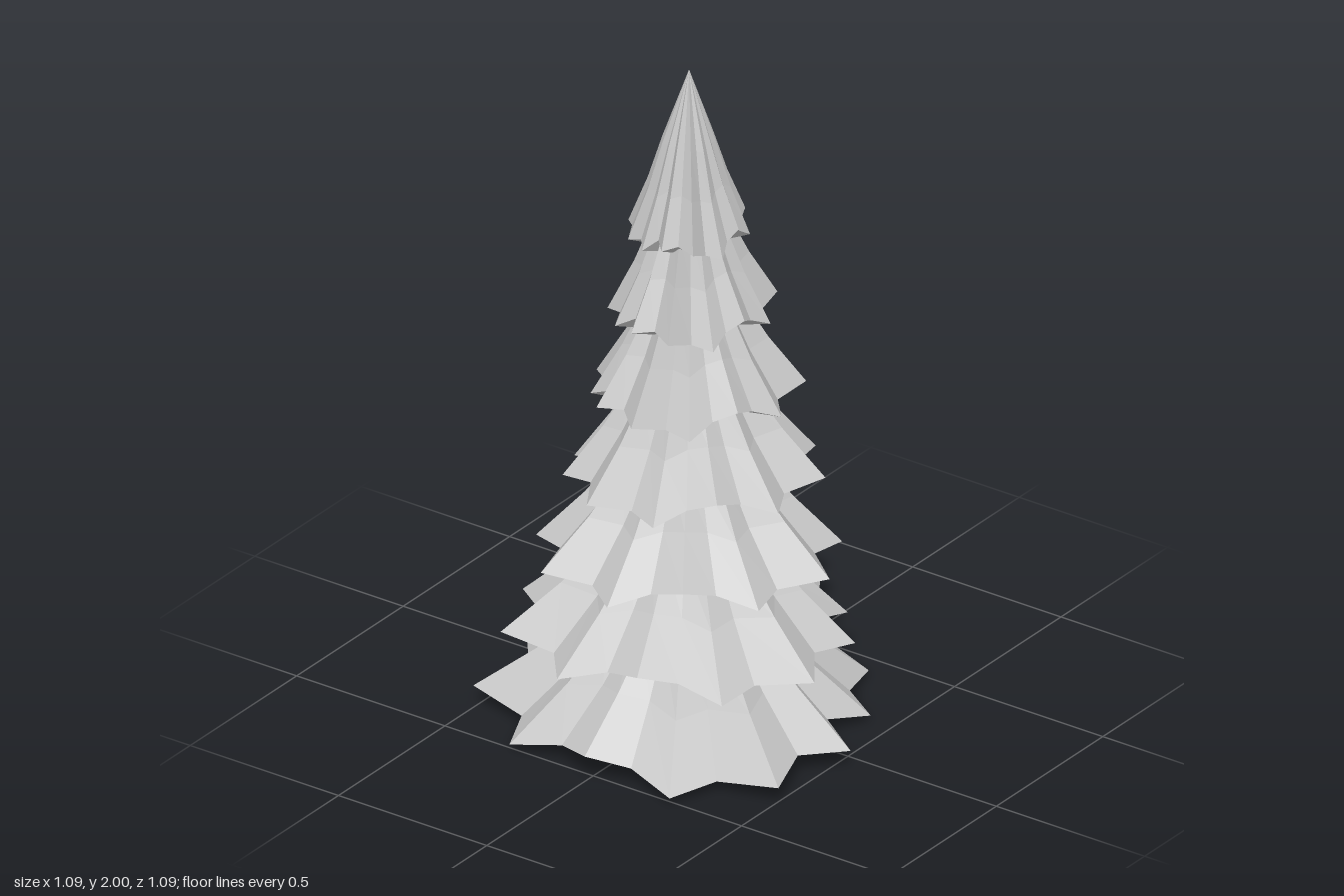
import * as THREE from 'three';

// Half outline of the lowest branch rim, from back tip to front tip in 15 degree
// steps: [radius, height]; tips and valleys alternate.
const HALF_RIM = [
  [0.6, 0.03], [0.515, 0.04], [0.54, 0.018], [0.446, 0.035], [0.5, 0.022], [0.405, 0.06],
  [0.545, 0.055], [0.47, 0.065], [0.594, 0.058], [0.465, 0.035], [0.54, 0.024], [0.45, 0.055], [0.49, 0.08],
];
const MEAN_RADIUS = 0.5;
const SIDES = 24;
const AXIS_Z = 0.05;

// Cross-sections from apex, down the skirt, round the rim and up the hollow inside:
// [radius factor, height above the tier base, share of rim waviness, share of star shape]
const SECTIONS = [
  [0, 0.54, 0, 1],
  [0.44, 0.31, 0.2, 1],
  [0.68, 0.16, 0.6, 1],
  [1, 0, 1, 1],
  [0.43, 0.003, 0, 0.3],
  [0.36, 0.25, 0, 0.3],
  [0, 0.38, 0, 0],
];

function tierGeometry(scale, turn) {
  const positions = [];
  const index = [];
  for (const [factor, height, wave, star] of SECTIONS) {
    for (let i = 0; i < SIDES; i++) {
      const [radius, lift] = HALF_RIM[Math.min(i, SIDES - i)];
      const angle = Math.PI / 2 + (i / SIDES) * Math.PI * 2 + turn;
      const r = THREE.MathUtils.lerp(MEAN_RADIUS, radius, star) * factor * scale;
      positions.push(r * Math.cos(angle), height + lift * wave, -r * Math.sin(angle));
    }
  }
  for (let s = 0; s < SECTIONS.length - 1; s++) {
    for (let i = 0; i < SIDES; i++) {
      const j = (i + 1) % SIDES;
      const a = s * SIDES + i, d = s * SIDES + j;
      const b = a + SIDES, c = d + SIDES;
      if (SECTIONS[s + 1][0] > 0) index.push(a, b, c);
      if (SECTIONS[s][0] > 0) index.push(a, c, d);
    }
  }
  const geometry = new THREE.BufferGeometry();
  geometry.setAttribute('position', new THREE.Float32BufferAttribute(positions, 3));
  geometry.setIndex(index);
  // Separate the facets so every face has its own normal
  const faceted = geometry.toNonIndexed();
  faceted.computeVertexNormals();
  return faceted;
}

export function createModel() {
  const tree = new THREE.Group();
  tree.name = 'firTree';
  const foliage = new THREE.MeshStandardMaterial({ color: 0xc8c8c8, flatShading: true });
  foliage.name = 'paleGrey';

  // Seven star-shaped tiers, each smaller and turned a little further
  const bases = [0, 0.25, 0.492, 0.733, 0.975, 1.215, 1.46];
  bases.forEach((y, k) => {
    const scale = (0.6 - 0.069 * k) / 0.6;
    const turn = THREE.MathUtils.degToRad(16.5 * k);
    const tier = new THREE.Mesh(tierGeometry(scale, turn), foliage);
    tier.name = `branchTier${k + 1}`;
    tier.position.set(0, y, AXIS_Z);
    tree.add(tier);
  });
  return tree;
}
